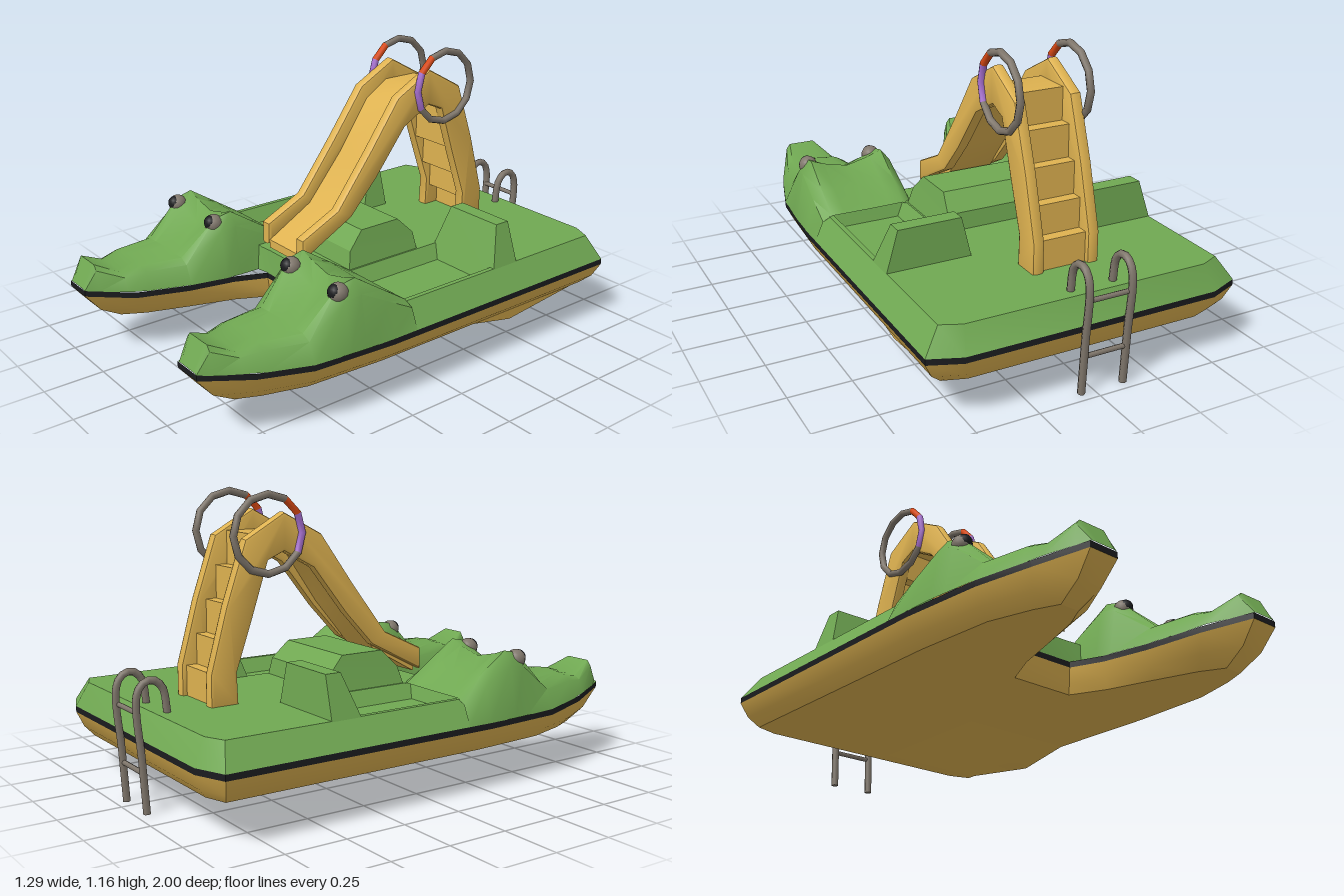
import * as THREE from 'three';
import { toCreasedNormals } from 'three/addons/utils/BufferGeometryUtils.js';
import { ConvexGeometry } from 'three/addons/geometries/ConvexGeometry.js';

const mat = (name, color) => {
  const m = new THREE.MeshStandardMaterial({ color });
  m.name = name;
  return m;
};
const V = (x, y, z) => new THREE.Vector3(x, y, z);
const lerp = THREE.MathUtils.lerp;

// Skin a list of rings that all have the same number of points
function loft(rings, closed = true, crease = 0.6) {
  const n = rings[0].length, idx = [];
  for (let r = 0; r < rings.length - 1; r++) {
    for (let i = 0; i < (closed ? n : n - 1); i++) {
      const j = (i + 1) % n, a = r * n, b = a + n;
      idx.push(a + i, b + i, b + j, a + i, b + j, a + j);
    }
  }
  const g = new THREE.BufferGeometry().setFromPoints(rings.flat());
  g.setIndex(idx);
  return toCreasedNormals(g, crease);
}

// Rectangle in plan, and a block or pit stacked from such rectangles
const rect = (x0, x1, z0, z1, y) => [V(x0, y, z0), V(x1, y, z0), V(x1, y, z1), V(x0, y, z1)];
function stack(rings) {
  const last = rings[rings.length - 1];
  const c = V(0, 0, 0);
  last.forEach(p => c.addScaledVector(p, 1 / last.length));
  return loft([...rings, last.map(() => c)], true, 0.5);
}

// Side profile given as [z, y], extruded across x
function sideExtrude(pts, x, width, bevel) {
  const shape = new THREE.Shape(pts.map(p => new THREE.Vector2(...p)));
  const g = new THREE.ExtrudeGeometry(shape, {
    depth: width - 2 * bevel, bevelEnabled: bevel > 0, bevelSize: bevel,
    bevelThickness: bevel, bevelOffset: -bevel, bevelSegments: 2,
  });
  g.translate(0, 0, -(width - 2 * bevel) / 2).rotateY(-Math.PI / 2).translate(x, 0, 0);
  return toCreasedNormals(g, 0.6);
}

// Half outline of the hull: rim x, rim z, rim y, bottom x, bottom z
const HALF = [
  [0.52, -0.96, 0.262, 0.48, -0.9], [0.645, -0.91, 0.262, 0.57, -0.87],
  [0.645, -0.3, 0.262, 0.57, -0.3], [0.645, 0.25, 0.262, 0.57, 0.25],
  [0.62, 0.6, 0.262, 0.55, 0.58], [0.56, 0.81, 0.275, 0.5, 0.75],
  [0.48, 1, 0.3, 0.46, 0.84], [0.355, 1, 0.3, 0.38, 0.84],
  [0.265, 0.825, 0.275, 0.33, 0.75], [0.215, 0.61, 0.262, 0.27, 0.58],
  [0.175, 0.42, 0.262, 0.21, 0.4], [0.12, 0.29, 0.262, 0.14, 0.26],
];
// Entries 0 and 3 of a row are x values
const mirrorX = list => [...list, ...list.slice().reverse().map(row => row.map((v, i) => (i % 3 ? v : -v)))];

// Head stations, front to back: z, outer x, inner x, rim y, crest y, valley y
const HEAD = [
  [1, 0.48, 0.355, 0.312, 0.315, 0.315], [0.95, 0.505, 0.33, 0.303, 0.41, 0.41],
  [0.85, 0.545, 0.275, 0.293, 0.36, 0.365], [0.77, 0.572, 0.253, 0.284, 0.375, 0.39],
  [0.6, 0.62, 0.213, 0.274, 0.37, 0.375], [0.45, 0.635, 0.18, 0.274, 0.515, 0.45],
  [0.38, 0.641, 0.175, 0.274, 0.53, 0.485], [0.25, 0.645, 0.175, 0.274, 0.445, 0.435],
  [0.14, 0.645, 0.18, 0.274, 0.373, 0.372],
];
function headGeometry(s) {
  return loft(HEAD.map(([z, xo, xi, rim, top, valley]) => {
    const k = Math.min(1, (xo - xi) / 0.42);
    const side = [[0, rim], [0.035, lerp(rim, top, 0.8)], [0.075, top], [0.13, lerp(top, valley, 0.45)]];
    const pts = [
      ...side.map(([d, y]) => V(s * (xo - d * k), y, z)),
      V(s * (xo + xi) / 2, valley, z),
      ...side.slice().reverse().map(([d, y]) => V(s * (xi + d * k), y, z)),
    ];
    return s < 0 ? pts.reverse() : pts;
  }), false, 0.8);
}

export function createModel() {
  const green = mat('green', 0x70a852), tan = mat('tan', 0xdeb250), black = mat('black', 0x1b1c1f);
  const grey = mat('grey', 0x7f766b), red = mat('red', 0xdc4a14), purple = mat('purple', 0xa66fd0);
  const model = new THREE.Group();
  const add = (name, g, m, parent = model) => {
    const mesh = new THREE.Mesh(g, m);
    mesh.name = name;
    parent.add(mesh);
    return mesh;
  };

  // Lower hull with its flat bottom and the one-sided belly
  const outline = mirrorX(HALF);
  const rimRing = dy => outline.map(([x, z, y]) => V(x, y + dy, z));
  const lower = (t, ty) => outline.map(([x, z, y, bx, bz]) =>
    V(lerp(x, bx, t), lerp(y - 0.012, 0.15, ty), lerp(z, bz, t)));
  add('hull', loft([lower(1, 1), lower(0.42, 0.6), lower(0, 0)]), tan);
  const floor = new THREE.ShapeGeometry(new THREE.Shape(outline.map(p => new THREE.Vector2(p[3], p[4]))));
  add('hullBottom', floor.rotateX(Math.PI / 2).translate(0, 0.15, 0), tan);
  add('belly', toCreasedNormals(new ConvexGeometry([
    V(0.57, 0.152, -0.22), V(0.05, 0.152, -0.22), V(0.57, 0.157, -0.88), V(0.05, 0.157, -0.88),
    V(0.56, 0.1, -0.45), V(0.2, 0.1, -0.45),
  ]), 0.6), tan);
  add('rimStripe', loft([rimRing(-0.012), rimRing(0.012)]), black);

  // Deck: sloping edge and a top with two cockpit openings
  const edge = mirrorX([[0.52, -0.96], [0.645, -0.91], [0.645, 0.25], [0.175, 0.3], [0.12, 0.29]]);
  const top = mirrorX([[0.5, -0.91], [0.58, -0.875], [0.58, 0.22], [0.175, 0.28], [0.12, 0.275]]);
  add('deckEdge', loft([edge.map(([x, z]) => V(x, 0.274, z)), top.map(([x, z]) => V(x, 0.37, z))]), green);
  const deck = new THREE.Shape(top.map(([x, z]) => new THREE.Vector2(x, -z)));
  for (const s of [-1, 1]) {
    const hole = rect(s * 0.4 - 0.16, s * 0.4 + 0.16, -0.34, 0.17, 0);
    deck.holes.push(new THREE.Path(hole.map(p => new THREE.Vector2(p.x, -p.z))));
  }
  add('deck', new THREE.ShapeGeometry(deck).rotateX(-Math.PI / 2).translate(0, 0.37, 0), green);
  add('centreHump', stack([
    rect(-0.235, 0.235, -0.22, 0.14, 0.36), rect(-0.215, 0.215, -0.21, 0.12, 0.44),
    rect(-0.2, 0.2, -0.14, 0.05, 0.51),
  ]), green);

  // Cockpits, seat backs and animal heads on both sides
  for (const s of [-1, 1]) {
    const c = s * 0.4, side = s > 0 ? 'left' : 'right';
    add(side + 'Cockpit', stack([
      rect(c - 0.16, c + 0.16, -0.34, 0.17, 0.37), rect(c - 0.125, c + 0.125, -0.3, 0.15, 0.31),
    ]), green);
    const b = s * 0.41;
    add(side + 'SeatBack', stack([
      rect(b - 0.19, b + 0.19, -0.45, -0.3, 0.31), rect(c - 0.13, c + 0.13, -0.44, -0.375, 0.53),
    ]), green);
    add(side + 'Head', headGeometry(s), green);
    for (const x of [0.27, 0.557]) {
      const eye = new THREE.Group();
      eye.name = side + 'Eye';
      eye.position.set(s * x, 0.488, 0.45);
      add('eyeball', new THREE.SphereGeometry(0.039, 14, 10), grey, eye);
      add('pupil', new THREE.SphereGeometry(0.03, 14, 10), black, eye).position.set(0, 0.007, 0.012);
      model.add(eye);
    }
  }

  // Slide rails, then a thin chute and stairs between them
  const under = [[-0.585, 0.36], [-0.59, 0.49], [-0.52, 0.69], [-0.45, 0.9], [-0.38, 0.93],
    [-0.25, 0.86], [-0.1, 0.67], [0.03, 0.53], [0.28, 0.4]];
  const rail = [[0.28, 0.49], [0.1, 0.575], [-0.065, 0.79], [-0.21, 0.99], [-0.38, 1.08],
    [-0.55, 0.985], [-0.635, 0.74], [-0.705, 0.49], [-0.705, 0.36]];
  for (const x of [-0.144, 0.09]) add('slideRail', sideExtrude([...under, ...rail], x, 0.05, 0.014), tan);
  const chute = [[0.275, 0.42], [0.07, 0.535], [-0.09, 0.725], [-0.235, 0.935], [-0.34, 1]];
  const stairs = [];
  [[-0.5, 1], [-0.55, 0.87], [-0.595, 0.74], [-0.64, 0.61], [-0.685, 0.49]].forEach(([z, y], i, a) => {
    stairs.push([z, y], [z, i < 4 ? a[i + 1][1] : 0.36]);
  });
  const beneath = [
    ...stairs.map(([z, y], i) => [z + 0.03, i < 9 ? y - 0.03 : y]).reverse(),
    ...chute.map(([z, y]) => [z, y - 0.035]).reverse(),
  ];
  add('chuteAndStairs', sideExtrude([...chute, ...stairs, ...beneath], -0.027, 0.19, 0), tan);

  // Hand rings, with coloured grips on the front
  const arcs = [['ring', 60, 270, 9, grey], ['ringUpperGrip', 30, 30, 1, red], ['ringGrip', -30, 60, 2, purple]];
  for (const x of [-0.173, 0.12]) {
    for (const [name, from, sweep, segs, m] of arcs) {
      const g = new THREE.TorusGeometry(0.149, 0.015, 8, segs, THREE.MathUtils.degToRad(sweep));
      g.rotateZ(THREE.MathUtils.degToRad(from)).rotateY(-Math.PI / 2).translate(x, 1, -0.455);
      add(name, g, m);
    }
  }

  // Boarding ladder at the stern
  const ladder = new THREE.Group();
  ladder.name = 'ladder';
  const path = [[0, -0.955], [0.2, -0.968], [0.44, -0.983], [0.485, -0.96], [0.497, -0.92], [0.465, -0.88], [0.36, -0.862]];
  for (const x of [-0.125, 0.053]) {
    const curve = new THREE.CatmullRomCurve3(path.map(([y, z]) => V(x, y, z)));
    add('ladderRail', new THREE.TubeGeometry(curve, 28, 0.015, 8), grey, ladder);
    add('ladderFoot', new THREE.CircleGeometry(0.015, 8).rotateX(Math.PI / 2).translate(x, 0.001, -0.955), grey, ladder);
  }
  for (const [y, z] of [[0.38, -0.979], [0.155, -0.965]]) {
    const g = new THREE.CylinderGeometry(0.01, 0.01, 0.178, 8).rotateZ(Math.PI / 2);
    add('ladderRung', g.translate(-0.036, y, z), grey, ladder);
  }
  model.add(ladder);
  return model;
}
